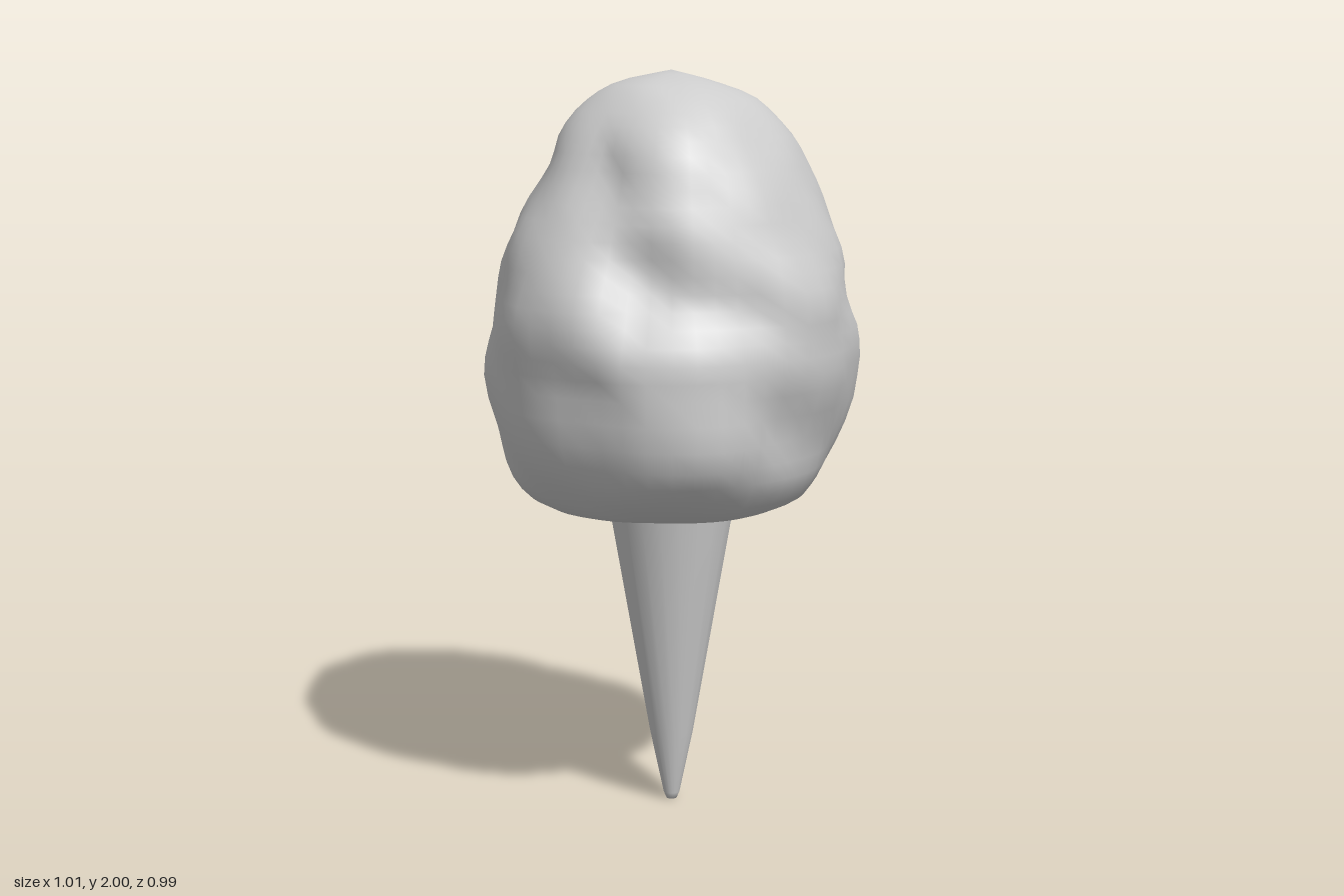
import * as THREE from 'three';

// Fluff outline: height, then reach in eight directions from +x through +z, -x and -z
const OUTLINE = [
  [0.825, 0, 0, 0, 0, 0, 0, 0, 0],
  [0.825, 0.17, 0.17, 0.16, 0.17, 0.17, 0.17, 0.15, 0.15],
  [0.84, 0.33, 0.29, 0.28, 0.30, 0.34, 0.32, 0.25, 0.26],
  [0.91, 0.405, 0.385, 0.40, 0.40, 0.425, 0.41, 0.38, 0.38],
  [1.02, 0.455, 0.425, 0.485, 0.455, 0.47, 0.47, 0.45, 0.45],
  [1.18, 0.505, 0.475, 0.495, 0.485, 0.505, 0.51, 0.495, 0.505],
  [1.3, 0.50, 0.49, 0.485, 0.505, 0.495, 0.475, 0.485, 0.475],
  [1.41, 0.455, 0.49, 0.435, 0.50, 0.475, 0.44, 0.45, 0.44],
  [1.52, 0.455, 0.445, 0.425, 0.455, 0.455, 0.415, 0.435, 0.43],
  [1.63, 0.415, 0.395, 0.405, 0.395, 0.405, 0.37, 0.395, 0.40],
  [1.74, 0.37, 0.345, 0.37, 0.345, 0.33, 0.33, 0.34, 0.355],
  [1.84, 0.325, 0.28, 0.31, 0.285, 0.29, 0.28, 0.285, 0.30],
  [1.92, 0.24, 0.21, 0.22, 0.21, 0.225, 0.20, 0.19, 0.21],
  [1.97, 0.11, 0.12, 0.13, 0.14, 0.14, 0.12, 0.10, 0.10],
  [2, 0, 0, 0, 0, 0, 0, 0, 0],
];

// Local puffs and creases: x, y, z, depth, size
const LUMPS = [
  [-0.13, 1.5, 0.4, -0.06, 0.09], [-0.16, 1.38, 0.45, -0.02, 0.06], [-0.26, 1.2, 0.42, -0.025, 0.06],
  [0.25, 1.13, 0.41, -0.025, 0.08], [0.18, 1.4, 0.43, -0.015, 0.06], [-0.2, 1.7, 0.24, -0.04, 0.09],
  [0.07, 1.88, -0.26, -0.025, 0.08], [0.2, 1.57, 0.37, 0.015, 0.14],
];

// Evenly scattered centres of the small billows
const BILLOWS = Array.from({ length: 60 }, (_, i) => {
  const h = 1 - (2 * (i + 0.5)) / 60, a = i * 2.39996 + Math.sin(i * 7.3) * 0.35;
  const s = Math.sqrt(1 - h * h) * 0.49;
  return new THREE.Vector3(Math.cos(a) * s, 1.36 + h * 0.6, Math.sin(a) * s);
});

function puffiness(p) {
  let nearest = Infinity;
  for (const b of BILLOWS) nearest = Math.min(nearest, p.distanceTo(b));
  let d = 0.007 - 0.6 * Math.min(nearest, 0.18) ** 2;
  for (const [x, y, z, depth, size] of LUMPS) {
    const q = (p.x - x) ** 2 + (p.y - y) ** 2 + (p.z - z) ** 2;
    d += depth * Math.exp(-q / (size * size));
  }
  return d;
}

// Closed surface of rings, shared around the seam for smooth shading
function fluffGeometry(rings = 36, sides = 48) {
  const curves = [1, 2, 3, 4, 5, 6, 7, 8].map((k) => new THREE.CatmullRomCurve3(
    OUTLINE.map((row) => new THREE.Vector3(row[k], row[0], 0)), false, 'catmullrom', 0.5));
  const positions = [], index = [];
  for (let j = 0; j <= rings; j++) {
    const section = curves.map((c) => c.getPoint(j / rings));
    for (let i = 0; i < sides; i++) {
      const turn = (i / sides) * 8, k = Math.floor(turn), f = turn - k;
      const q = section[k].clone().lerp(section[(k + 1) % 8], f * f * (3 - 2 * f));
      const a = (i / sides) * Math.PI * 2;
      const p = new THREE.Vector3(Math.cos(a) * q.x, q.y, Math.sin(a) * q.x);
      const r = q.x + puffiness(p) * Math.min(1, q.x / 0.3);
      positions.push(Math.cos(a) * r, q.y, Math.sin(a) * r);
      if (j < rings) {
        const n = (i + 1) % sides, lo = j * sides, hi = lo + sides;
        if (j < rings - 1) index.push(lo + i, hi + i, hi + n);
        else index.push(lo + i, hi, lo + n);
        if (j > 0 && j < rings - 1) index.push(lo + i, hi + n, lo + n);
      }
    }
  }
  // Collapse each pole onto one shared corner
  const fixed = index.map((v) => (v < sides ? 0 : v >= rings * sides ? rings * sides : v));
  const geometry = new THREE.BufferGeometry();
  geometry.setAttribute('position', new THREE.Float32BufferAttribute(positions, 3));
  geometry.setIndex(fixed);
  geometry.computeVertexNormals();
  return geometry;
}

export function createModel() {
  const paleGrey = new THREE.MeshStandardMaterial({ color: 0xcccccc });
  const model = new THREE.Group();
  model.name = 'cottonCandy';

  const fluff = new THREE.Mesh(fluffGeometry(), paleGrey);
  fluff.name = 'fluff';

  // Tapered paper cone with a small blunt tip
  const profile = [[0, 0], [0.014, 0.002], [0.022, 0.02], [0.06, 0.2], [0.168, 0.82], [0.173, 0.86], [0, 0.86]];
  const cone = new THREE.Mesh(
    new THREE.LatheGeometry(profile.map(([r, y]) => new THREE.Vector2(r, y)), 20), paleGrey);
  cone.name = 'paperCone';

  model.add(fluff, cone);
  return model;
}
